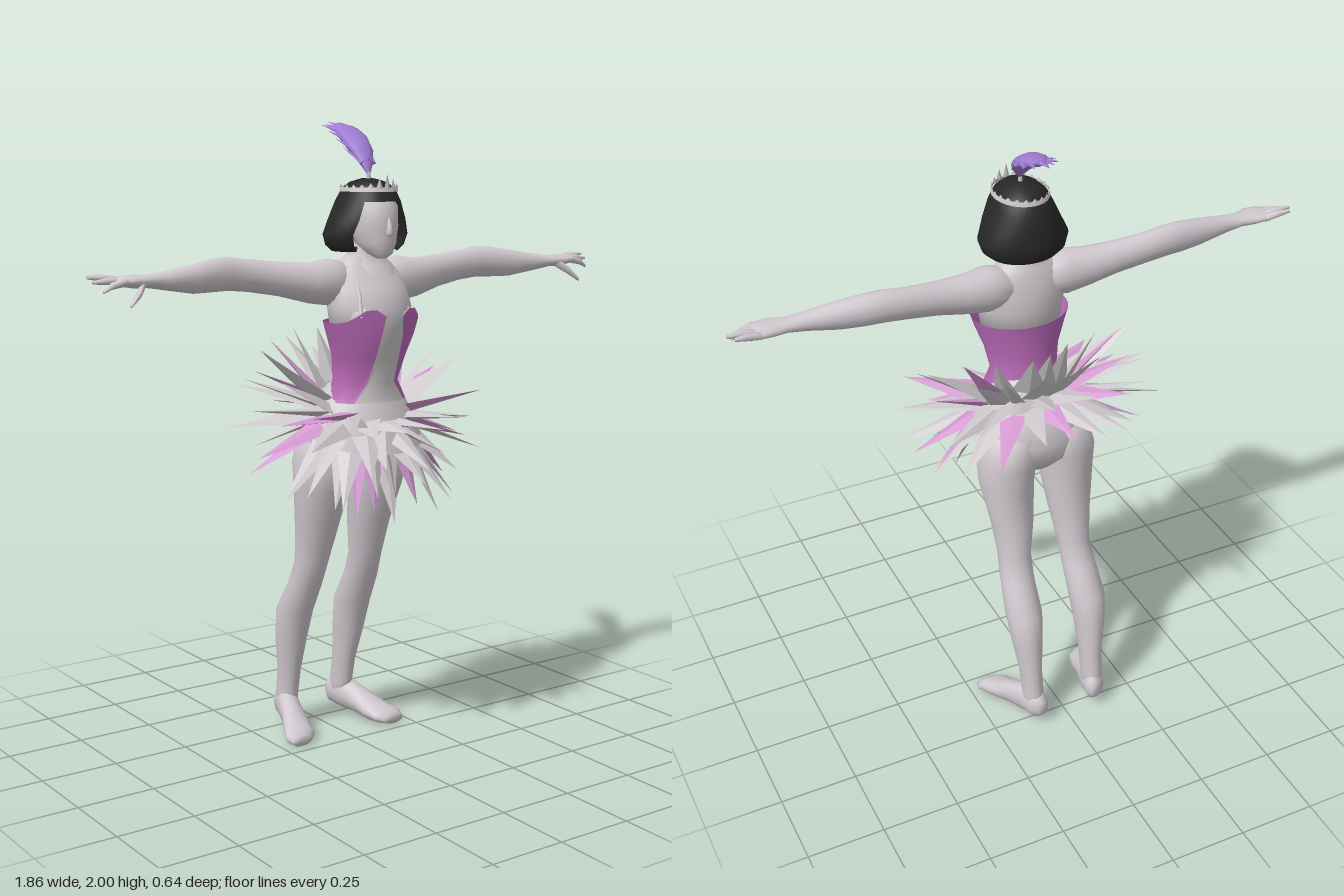
import * as THREE from 'three';
import { mergeGeometries } from 'three/addons/utils/BufferGeometryUtils.js';

const mat = (name, color, side = THREE.FrontSide) =>
  Object.assign(new THREE.MeshStandardMaterial({ color, side }), { name });

// Skin through elliptical rings [x, y, z, a, b] stacked along an axis.
// 'keep' selects which faces belong to this piece, 'tweak' shifts points.
function loft(rings, axis = 'y', n = 18, { keep, tweak, caps = true } = {}) {
  const pos = [], idx = [], k = 'xyz'.indexOf(axis);
  const flip = rings[rings.length - 1][k] < rings[0][k];
  const tri = (a, b, c) => (flip ? idx.push(a, c, b) : idx.push(a, b, c));
  rings.forEach(([x, y, z, a, b], i) => {
    for (let j = 0; j < n; j++) {
      const t = (j / n) * Math.PI * 2, s = Math.sin(t), c = Math.cos(t);
      const p = new THREE.Vector3(x, y, z);
      if (axis === 'y') p.add(new THREE.Vector3(a * s, 0, b * c));
      else if (axis === 'x') p.add(new THREE.Vector3(0, a * c, b * s));
      else p.add(new THREE.Vector3(a * c, b * s, 0));
      if (tweak) tweak(p, i, t > Math.PI ? t - Math.PI * 2 : t);
      pos.push(p.x, p.y, p.z);
    }
  });
  for (let i = 0; i < rings.length - 1; i++) for (let j = 0; j < n; j++) {
    const mid = ((j + 0.5) / n) * Math.PI * 2;
    if (keep && !keep(i, Math.min(mid, Math.PI * 2 - mid))) continue;
    const a = i * n + j, b = i * n + (j + 1) % n;
    tri(a, b, b + n);
    tri(a, b + n, a + n);
  }
  if (caps) [0, rings.length - 1].forEach((i, end) => {
    const c = pos.length / 3;
    pos.push(...rings[i].slice(0, 3));
    for (let j = 0; j < n; j++) {
      const a = i * n + j, b = i * n + (j + 1) % n;
      end ? tri(c, a, b) : tri(c, b, a);
    }
  });
  const g = new THREE.BufferGeometry();
  g.setAttribute('position', new THREE.Float32BufferAttribute(pos, 3));
  g.setIndex(idx);
  g.computeVertexNormals();
  return g;
}

// Flat-faced blade from one point to another
function spike(from, to, width, thick, up = new THREE.Vector3(0, 1, 0.01)) {
  const dir = to.clone().sub(from), len = dir.length();
  dir.normalize();
  const side = dir.clone().cross(up).normalize(), nor = side.clone().cross(dir);
  const g = new THREE.ConeGeometry(1, 1, 4).translate(0, 0.5, 0).scale(width, len, thick);
  g.applyMatrix4(new THREE.Matrix4().makeBasis(side, dir, nor).setPosition(from));
  const f = g.toNonIndexed();
  f.computeVertexNormals();
  return f;
}

const mirrorRings = (rings, s) => rings.map(([x, ...r]) => [x * s, ...r]);
const V = (x, y, z) => new THREE.Vector3(x, y, z);

export function createModel() {
  const model = new THREE.Group();
  const skin = mat('paleSkin', 0xd0c9cf), white = mat('whiteCloth', 0xcfcacd, THREE.DoubleSide);
  const pink = mat('orchidSatin', 0xba6ab8, THREE.DoubleSide), petal = mat('pinkPetal', 0xd59ad2);
  const black = mat('blackHair', 0x272728, THREE.DoubleSide);
  const violet = mat('violetFeather', 0xa07cd2), silver = mat('silverTiara', 0xc8c5c9, THREE.DoubleSide);
  const add = (name, geo, m, parent = model) => {
    const mesh = new THREE.Mesh(geo, m);
    mesh.name = name;
    parent.add(mesh);
  };
  let seed = 7;
  const rnd = () => (seed = (seed * 16807) % 2147483647) / 2147483647;

  // Body core
  add('hips', loft([[0, .89, -.03, .07, .06], [0, .94, -.035, .15, .1], [0, 1.01, -.03, .178, .118],
    [0, 1.09, -.005, .155, .115], [0, 1.2, .045, .1, .085]], 'y', 24), skin);
  add('upperTorso', loft([[0, 1.34, .072, .125, .1], [0, 1.43, .073, .138, .116], [0, 1.49, .055, .14, .094],
    [0, 1.54, .045, .125, .072], [0, 1.57, .04, .09, .056], [0, 1.6, .045, .046, .044], [0, 1.69, .06, .042, .042]], 'y', 24), skin);
  add('collar', loft([[.012, 1.53, .06, .085, .072], [.01, 1.56, .05, .078, .064], [.004, 1.578, .047, .062, .055],
    [0, 1.6, .046, .054, .051]], 'y', 20, { caps: false }), white);
  add('strap', loft([[-.1, 1.41, .172, .006, .006], [-.085, 1.47, .14, .006, .006], [-.072, 1.525, .108, .006, .006]], 'y', 6), white);

  // Limbs
  for (const s of [1, -1]) {
    const side = s > 0 ? 'left' : 'right';
    add(side + 'Bust', new THREE.SphereGeometry(.052, 16, 12).translate(s * .062, 1.405, .126), skin);
    add(side + 'Leg', loft(mirrorRings([[.09, 1.04, -.04, .08, .1], [.102, .94, -.035, .094, .113],
      [.105, .85, -.04, .088, .092], [.102, .72, -.073, .07, .073], [.106, .6, -.098, .054, .058],
      [.111, .52, -.13, .055, .06], [.115, .42, -.186, .06, .066], [.115, .32, -.21, .05, .06],
      [.111, .2, -.231, .036, .046], [.11, .12, -.245, .034, .045], [.112, .05, -.25, .034, .04]], s)), skin);
    add(side + 'Shoe', loft(mirrorRings([[.1, .075, -.302, .018, .028], [.105, .077, -.283, .034, .05],
      [.117, .075, -.23, .04, .056], [.137, .058, -.17, .042, .045], [.158, .036, -.11, .052, .034],
      [.174, .026, -.065, .056, .025], [.184, .02, -.04, .038, .018]], s), 'z', 14,
      { tweak: (p) => { if (p.z > -.12) p.y = Math.max(p.y, .003); } }), skin);
    add(side + 'Arm', loft(mirrorRings([[.05, 1.512, .035, .055, .055], [.13, 1.51, .035, .072, .066],
      [.2, 1.51, .033, .062, .058], [.3, 1.526, .02, .052, .046], [.4, 1.54, .01, .049, .041],
      [.47, 1.548, .01, .05, .041], [.53, 1.546, .017, .049, .041], [.6, 1.54, .03, .043, .038],
      [.7, 1.54, .04, .027, .033], [.755, 1.541, .042, .019, .032], [.8, 1.543, .045, .02, .046],
      [.845, 1.545, .04, .014, .046], [.86, 1.545, .038, .008, .04]], s), 'x', 16), skin);
    // Four fingers and a thumb
    const hand = new THREE.Group();
    hand.name = side + 'Fingers';
    model.add(hand);
    [[.915, 1.558, -.005], [.93, 1.558, .02], [.925, 1.545, .045], [.905, 1.52, .07]].forEach(([x, y, z], i) => {
      const z0 = .008 + i * .022;
      add('finger', loft(mirrorRings([[.835, 1.545, z0, .012, .013], [.88, (1.55 + y) / 2, (z0 + z) / 2, .01, .012],
        [x, y, z, .005, .006]], s), 'x', 8), skin, hand);
    });
    add('thumb', loft(mirrorRings([[.775, 1.54, .06, .016, .018], [.805, 1.512, .092, .013, .014],
      [.84, 1.48, .108, .006, .007]], s), 'x', 8), skin, hand);
  }

  // Bodice with a sweetheart top edge; points slide round so the front panel has clean edges
  const bodice = [[0, 1.14, .045, .138, .11], [0, 1.2, .05, .106, .094], [0, 1.28, .068, .119, .108],
    [0, 1.35, .078, .145, .121], [0, 1.39, .08, .157, .13]];
  const edge = Math.PI * 2 / 9, widths = [.75, .5, .38, .28, .2];
  const shape = (p, i, t) => {
    const [, , z, a, b] = bodice[i], w = widths[i], u = Math.abs(t);
    const v = u <= edge ? u * w / edge : w + (u - edge) * (Math.PI - w) / (Math.PI - edge);
    p.x = a * Math.sin(v) * Math.sign(t);
    p.z = z + b * Math.cos(v);
    if (i === 4) p.y += .045 * Math.exp(-(((v - .5) / .38) ** 2)) - .012 * Math.exp(-((v / .15) ** 2));
  };
  add('bodice', loft(bodice, 'y', 36, { tweak: shape, caps: false, keep: (i, t) => t > edge }), pink);
  add('frontPanel', loft(bodice, 'y', 36, { tweak: shape, caps: false, keep: (i, t) => t < edge }), white);

  // Tutu: a flared basque and four layers of blades, dipping at the front, pink mostly at the sides
  add('basque', loft([[0, 1.03, .05, .195, .155], [0, 1.08, .045, .178, .142], [0, 1.14, .045, .145, .117],
    [0, 1.18, .05, .11, .096]], 'y', 24, { caps: false, tweak: (p) => { p.y -= (p.z - .05) * .3; } }), white);
  const blades = { white: [], pink: [] };
  [32, 8, -15, -38].forEach((lift, layer) => {
    const count = 18;
    for (let i = 0; i < count; i++) {
      const a = ((i + layer * .37 + (rnd() - .5) * .5) / count) * Math.PI * 2, c = Math.cos(a), s = Math.sin(a);
      const el = THREE.MathUtils.degToRad(lift - 40 * c + (rnd() - .5) * 14);
      const len = [.21, .23, .25, .24][layer] * (1 + .14 * s * s - (layer < 3 ? .2 : .1) * c * c) * (.85 + rnd() * .3);
      const z = .04 + .115 * c;
      const from = V(.14 * s, 1.15 - layer * .024 - z * .5, z);
      const to = from.clone().add(V(s * Math.cos(el), Math.sin(el), c * Math.cos(el)).multiplyScalar(len));
      const up = V((rnd() - .5) - s * Math.sin(el), Math.cos(el), (rnd() - .5) - c * Math.sin(el));
      const isPink = Math.abs(s) > .55 ? (i + layer) % 3 === 0 : layer === 3 && i % 2 === 0;
      blades[isPink ? 'pink' : 'white'].push(spike(from, to, .042 + rnd() * .014, .014, up));
    }
  });
  add('tutuWhiteBlades', mergeGeometries(blades.white), white);
  add('tutuPinkBlades', mergeGeometries(blades.pink), petal);

  // Head and nose
  add('head', loft([[0, 1.583, .135, .014, .018], [0, 1.597, .128, .036, .043], [0, 1.63, .103, .06, .072],
    [0, 1.68, .085, .075, .092], [0, 1.74, .075, .078, .1], [0, 1.785, .06, .06, .08]], 'y', 24), skin);
  add('nose', loft([[0, 1.65, .172, .006, .006], [0, 1.66, .176, .011, .018], [0, 1.685, .174, .008, .012],
    [0, 1.715, .168, .004, .006]], 'y', 10), skin);

  // Bobbed hair, open around the face below the fringe
  add('bobHair', loft([[0, 1.618, .05, .085, .065], [0, 1.603, .048, .108, .09], [0, 1.622, .047, .13, .105],
    [0, 1.655, .05, .141, .11], [0, 1.7, .058, .121, .117], [0, 1.755, .064, .096, .112], [0, 1.79, .066, .078, .094],
    [0, 1.812, .066, .054, .066], [0, 1.823, .064, .02, .024]], 'y', 32,
    { caps: false, keep: (i, t) => i > 4 || t > .78 }), black);
  add('hairCrown', new THREE.CircleGeometry(.024, 16).rotateX(-Math.PI / 2).translate(0, 1.8225, .064), black);

  // Tiara band with small points all round, tallest at the front
  add('tiaraBand', loft([[0, 1.784, .068, .085, .101], [0, 1.797, .068, .081, .097]], 'y', 32, { caps: false }), silver);
  const points = [];
  for (let i = -10; i < 10; i++) {
    const a = i * Math.PI / 10, h = .012 + .032 * Math.exp(-i * i / 2);
    const p = V(.081 * Math.sin(a), 1.794, .068 + .097 * Math.cos(a));
    points.push(spike(p, p.clone().add(V(0, h, 0)), .011, .004, V(Math.sin(a), 0, Math.cos(a))));
  }
  add('tiaraPoints', mergeGeometries(points), silver);

  // Plume fanning out as it sweeps backwards, with ragged barbs
  const plume = [[0, 1.838, .07, .006, .008], [.005, 1.868, .052, .022, .02], [.016, 1.905, .012, .04, .028],
    [.03, 1.938, -.045, .05, .026], [.042, 1.965, -.105, .046, .019], [.052, 1.984, -.165, .022, .01]];
  add('plume', loft(plume, 'z', 12), violet);
  const barbs = [spike(V(.04, 1.975, -.11), V(.055, 1.998, -.235), .026, .01)];
  for (let i = 1; i < 5; i++) for (const s of [-1, 1]) {
    const [x, y, z, w] = plume[i];
    const reach = [0, .75, .95, 1, .9][i], lift = .058 - i * .009;
    barbs.push(spike(V(x + s * w * .5, y, z), V(x + .014 + s * .064 * reach, y + lift, z - .08), .02, .01));
    barbs.push(spike(V(x + s * w * .25, y + .004, z), V(x + .014 + s * .036 * reach, y + lift + .003, z - .1), .02, .01));
  }
  add('plumeBarbs', mergeGeometries(barbs), violet);
  add('plumeStem', new THREE.CylinderGeometry(.006, .008, .03, 8).translate(0, 1.828, .068), silver);

  return model;
}
